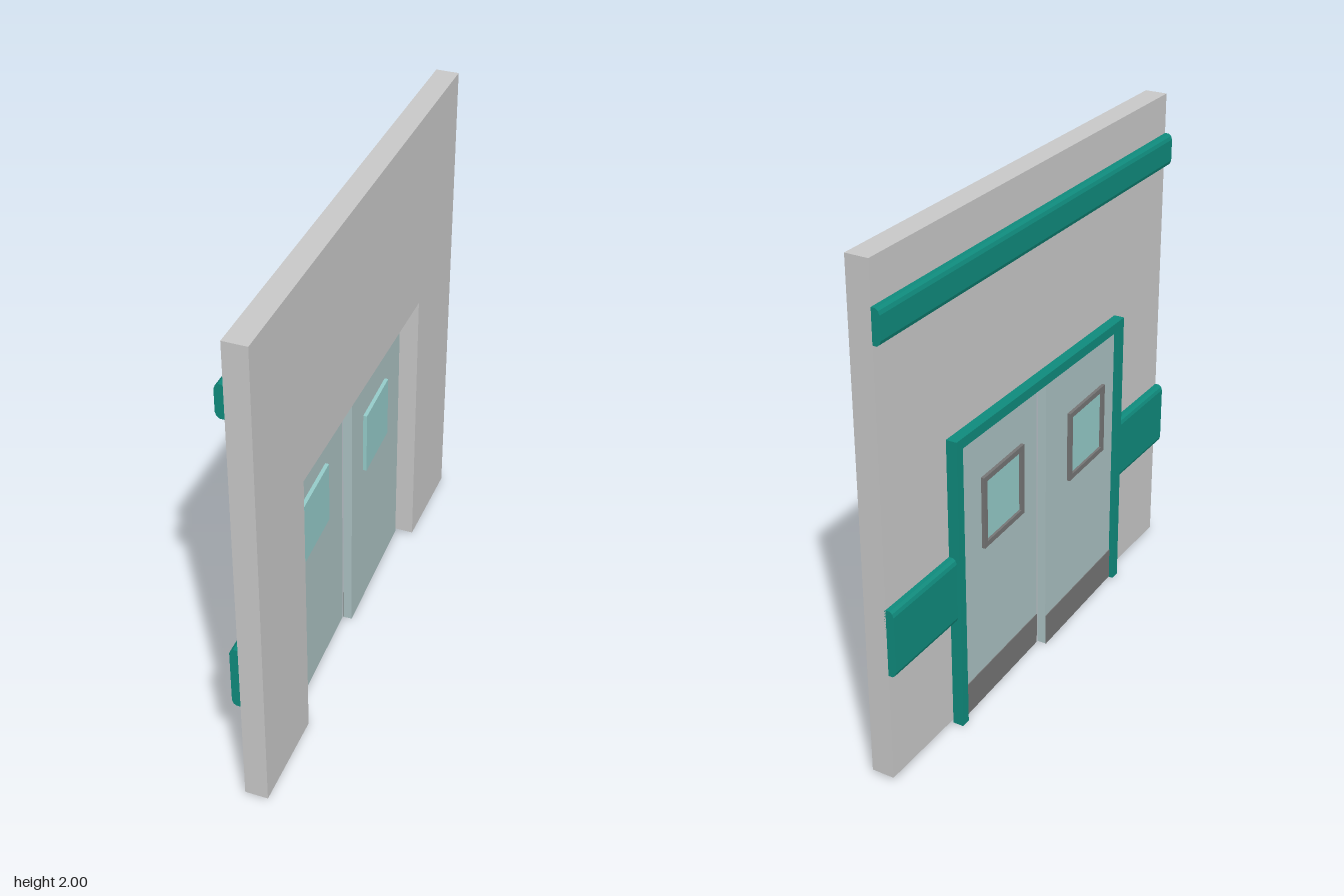
import * as THREE from 'three';

const mat = (name, color) => {
  const m = new THREE.MeshStandardMaterial({ color });
  m.name = name;
  return m;
};

export function createModel() {
  const wallGrey = mat('wallGrey', 0xc8c8c8);
  const teal = mat('teal', 0x0f8a7c);
  const doorBlue = mat('paleDoor', 0xabc1c2);
  const glassBlue = mat('glass', 0x95cbc9);
  const darkGrey = mat('darkGrey', 0x757575);

  const model = new THREE.Group();
  model.name = 'doubleDoorWall';

  // Box given by its limits on each axis
  const box = (parent, name, m, [x0, x1], [y0, y1], [z0, z1]) => {
    const mesh = new THREE.Mesh(new THREE.BoxGeometry(x1 - x0, y1 - y0, z1 - z0), m);
    mesh.position.set((x0 + x1) / 2, (y0 + y1) / 2, (z0 + z1) / 2);
    mesh.name = name;
    parent.add(mesh);
    return mesh;
  };

  // Outline of (x, y) points extruded along z
  const extrudeZ = (name, m, points, z0, z1) => {
    const shape = new THREE.Shape(points.map(([x, y]) => new THREE.Vector2(x, y)));
    const geo = new THREE.ExtrudeGeometry(shape, { depth: z1 - z0, bevelEnabled: false });
    const mesh = new THREE.Mesh(geo, m);
    mesh.position.z = z0;
    mesh.name = name;
    model.add(mesh);
  };

  // Wall with a doorway, drawn in (z, y) and turned to run along z
  const outline = new THREE.Shape([
    [-1, 0.015], [-0.595, 0.015], [-0.595, 1.2], [0.605, 1.2],
    [0.605, 0.015], [1, 0.015], [1, 2], [-1, 2],
  ].map(([z, y]) => new THREE.Vector2(-z, y)));
  const wall = new THREE.Mesh(
    new THREE.ExtrudeGeometry(outline, { depth: 0.09, bevelEnabled: false }), wallGrey);
  wall.rotation.y = Math.PI / 2;
  wall.position.x = -0.025;
  wall.name = 'wall';
  model.add(wall);

  // Bumper rails with softened outer edges
  const rail = (name, y0, y1, z0, z1) => extrudeZ(name, teal, [
    [-0.02, y0], [-0.02, y1], [-0.042, y1], [-0.052, y1 - 0.008], [-0.057, y1 - 0.022],
    [-0.057, y0 + 0.022], [-0.052, y0 + 0.008], [-0.042, y0],
  ], z0, z1);
  rail('upperRail', 1.71, 1.84, -1, 1);
  rail('lowerRailRear', 0.46, 0.73, -1, -0.6);
  rail('lowerRailFront', 0.46, 0.73, 0.6, 1);

  // Door surround
  const depth = [-0.068, -0.025];
  box(model, 'frontPost', teal, depth, [0, 1.2], [0.567, 0.606]);
  box(model, 'rearPost', teal, depth, [0, 1.2], [-0.61, -0.571]);
  box(model, 'frameHeader', teal, depth, [1.16, 1.2], [-0.571, 0.567]);
  box(model, 'postFootPlate', darkGrey, [-0.025, -0.022], [0, 0.135], [0.581, 0.605]);

  // Door leaves, swung slightly opposite ways about their outer edges
  const leaf = (name, hingeZ, z0, z1, windowZ) => {
    const g = new THREE.Group();
    g.name = name;
    g.position.set(-0.011, 0, hingeZ);
    g.rotation.y = 0.033;
    box(g, 'doorPanel', doorBlue, [-0.035, 0], [0.004, 1.199], [z0, z1]);
    box(g, 'kickPlate', darkGrey, [-0.038, -0.0345], [0.002, 0.135], [z0 + 0.002, z1 - 0.002]);
    const [w0, w1] = [windowZ - 0.132, windowZ + 0.132];
    box(g, 'windowPane', glassBlue, [-0.038, 0.015], [0.683, 0.947], [w0, w1]);

    // Raised window surround on the rear face
    const t = 0.022, a = w0 - 0.015, b = w1 + 0.015, rim = [-0.048, -0.034];
    box(g, 'windowRimTop', darkGrey, rim, [0.962 - t, 0.962], [a, b]);
    box(g, 'windowRimBottom', darkGrey, rim, [0.668, 0.668 + t], [a, b]);
    for (const z of [a, b - t])
      box(g, 'windowRimSide', darkGrey, rim, [0.668 + t, 0.962 - t], [z, z + t]);
    model.add(g);
  };
  leaf('frontDoor', 0.581, -0.582, 0, -0.262);
  leaf('rearDoor', -0.592, 0, 0.588, 0.322);

  return model;
}
